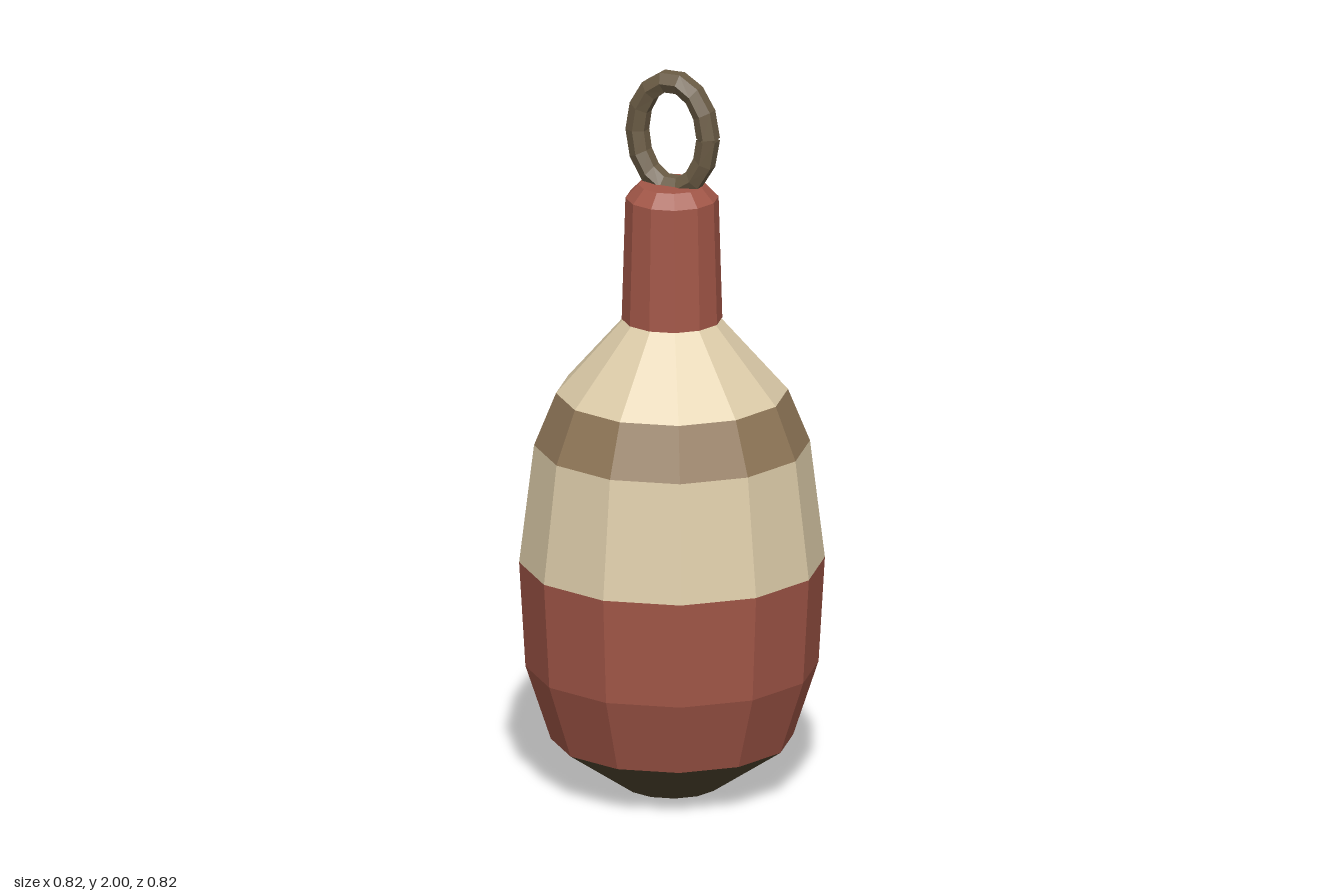
import * as THREE from 'three';

const SIDES = 12;

function material(name, color) {
  const m = new THREE.MeshStandardMaterial({ color, flatShading: true });
  m.name = name;
  return m;
}

export function createModel() {
  const cream = material('cream paint', 0xdecdaa);
  const red = material('red paint', 0xa35748);
  const tan = material('tan paint', 0x917859);
  const dark = material('dark base', 0x50452f);
  const metal = material('weathered metal', 0x6b5c45);
  metal.side = THREE.DoubleSide;

  const group = new THREE.Group();
  group.name = 'buoy';

  const add = (name, geometry, mat) => {
    const mesh = new THREE.Mesh(geometry, mat);
    mesh.name = name;
    group.add(mesh);
    return mesh;
  };

  // Faceted band turned from [radius, height] points, listed bottom to top
  const band = (name, points, mat) =>
    add(name, new THREE.LatheGeometry(points.map(([r, y]) => new THREE.Vector2(r, y)), SIDES), mat);

  // Body bands
  band('bottomDisc', [[0, 0], [0.125, 0]], red);
  band('baseTaper', [[0.125, 0], [0.325, 0.135]], dark);
  band('lowerBody', [[0.325, 0.135], [0.393, 0.34], [0.41, 0.632]], red);
  band('middleBody', [[0.41, 0.632], [0.37, 0.96]], cream);
  band('stripe', [[0.37, 0.96], [0.311, 1.105]], tan);
  band('shoulder', [[0.311, 1.105], [0.13, 1.31]], cream);

  // Neck with bevelled top
  band('neck', [[0.12, 1.31], [0.135, 1.31], [0.125, 1.65], [0.09, 1.687], [0, 1.687]], red);

  // Split ring: hexagonal section swept round, then stretched upright
  const radius = 0.106, section = 0.032, stretch = 0.043;
  const hexagon = [];
  for (let i = 0; i <= 6; i++) {
    const a = Math.PI / 6 + i * Math.PI / 3;
    hexagon.push(new THREE.Vector2(radius + section * Math.cos(a), section * Math.sin(a)));
  }
  const ring = new THREE.LatheGeometry(hexagon, 14, Math.PI / 2 + 0.02, Math.PI * 2 - 0.04);
  ring.rotateX(Math.PI / 2);
  const p = ring.attributes.position;
  for (let i = 0; i < p.count; i++) {
    const x = p.getX(i), y = p.getY(i);
    p.setY(i, y + stretch * y / Math.hypot(x, y));
  }
  ring.computeVertexNormals();
  add('ring', ring, metal).position.set(0, 1.826, -0.004);

  return group;
}
